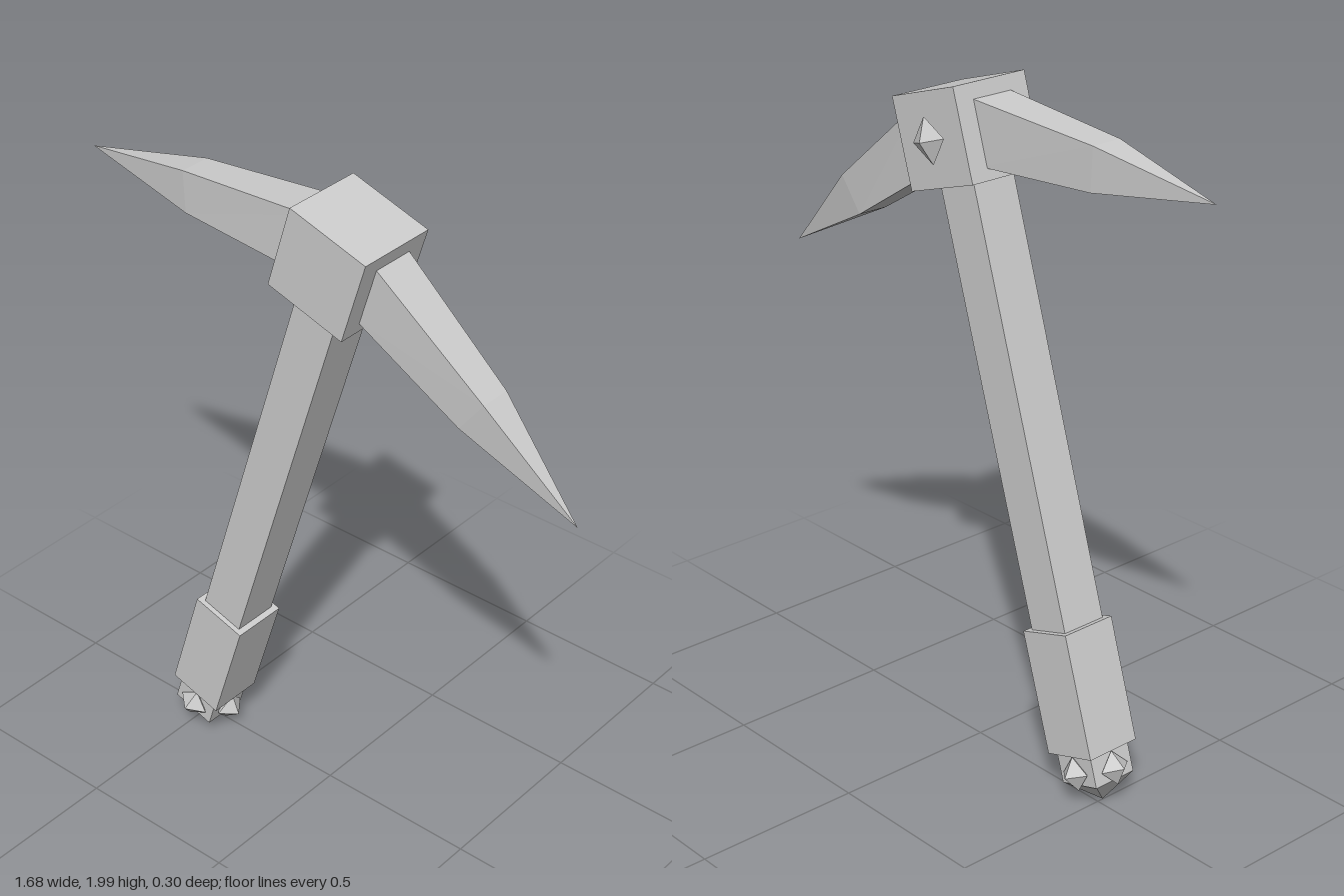
import * as THREE from 'three';

const grey = new THREE.MeshStandardMaterial({ color: 0xcccccc });
grey.name = 'plain grey';

function add(parent, name, geometry, x = 0, y = 0, z = 0) {
  const mesh = new THREE.Mesh(geometry, grey);
  mesh.name = name;
  mesh.position.set(x, y, z);
  parent.add(mesh);
  return mesh;
}

// Curved pick arm lofted through rectangular sections [xTop, yTop, xBottom, yBottom, halfDepth]
function armGeometry() {
  const rings = [
    [0.11, 0.095, 0.11, -0.093, 0.067],
    [0.535, -0.073, 0.492, -0.191, 0.048],
    [0.881, -0.254, 0.881, -0.254, 0],
  ].map(([xt, yt, xb, yb, d]) => [[xt, yt, d], [xt, yt, -d], [xb, yb, -d], [xb, yb, d]]);
  const points = [];
  const quad = (a, b, c, d) => points.push(...a, ...b, ...c, ...a, ...c, ...d);
  const [base, middle, end] = rings;
  for (let i = 0; i < 4; i++) {
    const j = (i + 1) % 4;
    quad(base[i], middle[i], middle[j], base[j]);
    points.push(...middle[i], ...end[0], ...middle[j]);
  }
  quad(...base);
  const geometry = new THREE.BufferGeometry();
  geometry.setAttribute('position', new THREE.Float32BufferAttribute(points, 3));
  geometry.computeVertexNormals();
  return geometry;
}

// Flattened octahedral stud pointing along +z
function studGeometry(radius, height) {
  return new THREE.OctahedronGeometry(1).scale(radius, radius, height);
}

export function createModel() {
  const model = new THREE.Group();
  model.name = 'pickaxe';

  // Everything is laid out around the head, then leaned over
  const tool = new THREE.Group();
  tool.name = 'leaningTool';
  tool.position.set(0.075, 1.835, 0.02);
  tool.rotation.z = -0.304;
  model.add(tool);

  // Head block and its two arms
  add(tool, 'headBlock', new THREE.BoxGeometry(0.262, 0.262, 0.252));
  add(tool, 'leftArm', armGeometry());
  add(tool, 'rightArm', armGeometry()).rotation.y = Math.PI;
  add(tool, 'headStud', studGeometry(0.066, 0.032), 0, 0, -0.138);

  // Shaft and grip
  add(tool, 'shaft', new THREE.BoxGeometry(0.14, 1.75, 0.144), 0, -0.975, 0);
  add(tool, 'grip', new THREE.BoxGeometry(0.178, 0.364, 0.176), 0, -1.577, 0);

  // Pointed end cap
  const cap = new THREE.ConeGeometry(0.1, 0.067, 4).rotateY(Math.PI / 4).rotateX(Math.PI).toNonIndexed();
  cap.computeVertexNormals();
  add(tool, 'endCap', cap, 0, -1.8835, 0);

  // Ring of four studs around the end of the shaft
  for (let i = 0; i < 4; i++) {
    const a = (i * Math.PI) / 2;
    const stud = add(tool, 'endStud', studGeometry(0.05, 0.041), Math.sin(a) * 0.079, -1.813, Math.cos(a) * 0.079);
    stud.rotation.y = a;
  }
  return model;
}
